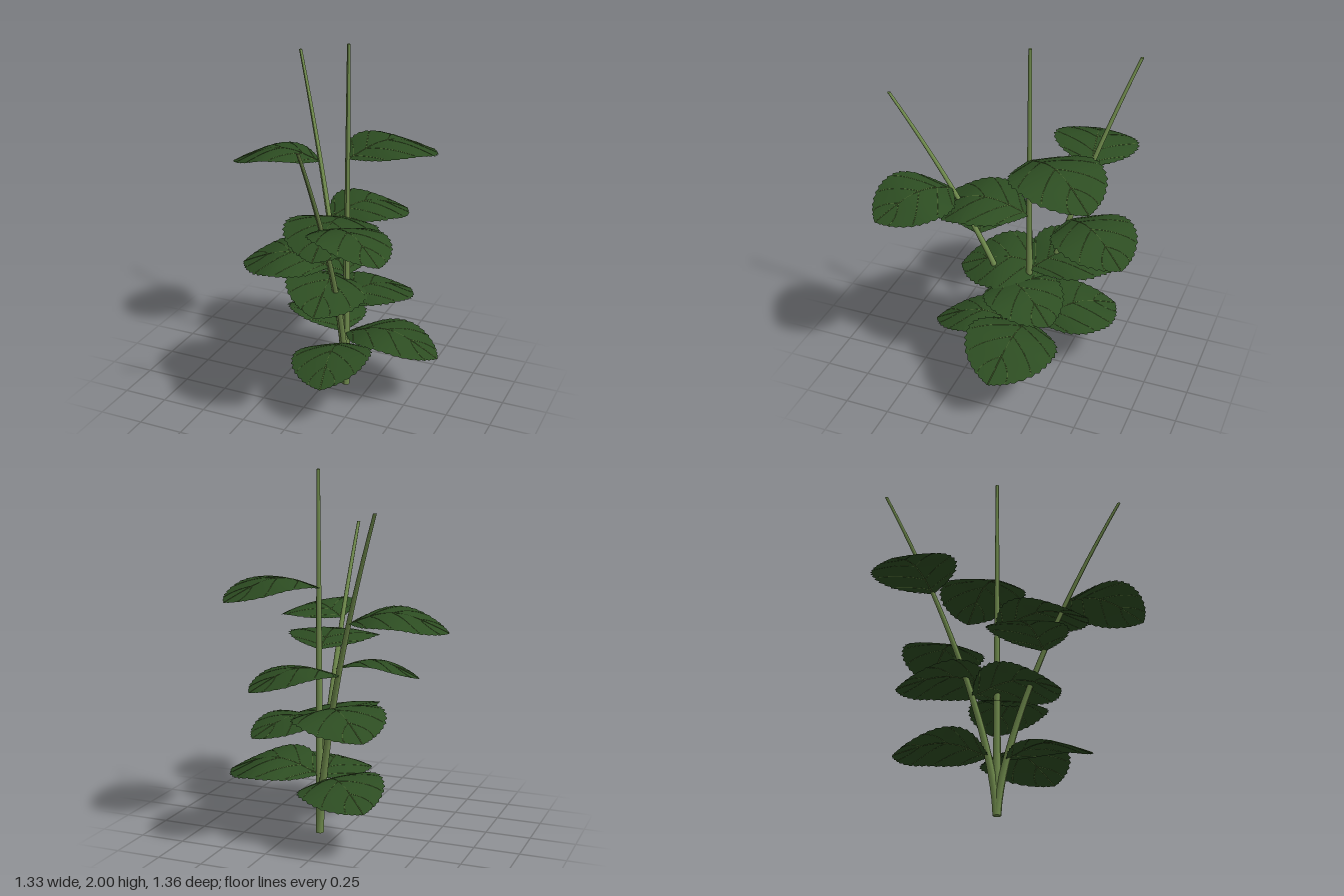
import * as THREE from 'three';

const leafGreen = new THREE.MeshStandardMaterial({ color: 0x2d4d22, side: THREE.DoubleSide });
leafGreen.name = 'leaf green';
const stemGreen = new THREE.MeshStandardMaterial({ color: 0x6f8a4c });
stemGreen.name = 'stem green';
const veinGreen = new THREE.MeshStandardMaterial({ color: 0x5a7339 });
veinGreen.name = 'vein green';

const spline = (pairs) => new THREE.SplineCurve(pairs.map(([a, b]) => new THREE.Vector2(a, b)));

// Half width and height of the blade along its length, as fractions of the length
const outline = spline([
  [0, 0.012], [0.05, 0.105], [0.12, 0.225], [0.24, 0.37], [0.4, 0.45], [0.58, 0.438],
  [0.74, 0.365], [0.88, 0.23], [0.96, 0.1], [1, 0.005],
]);
const arch = spline([
  [0, 0], [0.15, 0.058], [0.3, 0.108], [0.45, 0.124], [0.6, 0.105], [0.8, 0.028], [1, -0.065],
]);

// Height of the midrib at t, found between the two nearest samples of the arch
const archSamples = arch.getPoints(120);
function archHeight(t) {
  const i = Math.max(1, archSamples.findIndex((p) => p.x >= t));
  const a = archSamples[i - 1], b = archSamples[i];
  return a.y + (b.y - a.y) * (t - a.x) / (b.x - a.x);
}

// Point on a unit blade: s runs along the midrib, u across from -1 to 1
function bladePoint(s, u, tooth = 0) {
  const p = outline.getPoint(s);
  const t = THREE.MathUtils.clamp(p.x, 0, 1);
  const droop = 0.045 * u * u * Math.sin(Math.PI * t);
  return new THREE.Vector3(u * (p.y + tooth), archHeight(t) - droop, t);
}

// Serrated, arched blade
function bladeGeometry() {
  const rows = 80, cols = 12, pos = [], index = [];
  for (let i = 0; i <= rows; i++) {
    const inner = i > 6 && i < rows - 1;
    const tooth = inner ? 0.025 * ((i % 4) / 3 - 0.5) : 0;
    for (let j = 0; j <= cols; j++) {
      const u = (j / cols) * 2 - 1;
      const p = bladePoint(i / rows, u, Math.abs(u) > 0.9 ? tooth : 0);
      pos.push(p.x, p.y, p.z);
      if (i < rows && j < cols) {
        const a = i * (cols + 1) + j, b = a + cols + 1;
        index.push(a, b, a + 1, b, b + 1, a + 1);
      }
    }
  }
  const g = new THREE.BufferGeometry();
  g.setAttribute('position', new THREE.Float32BufferAttribute(pos, 3));
  g.setIndex(index);
  g.computeVertexNormals();
  return g;
}

// Thin raised vein lying on the blade
function veinGeometry(s0, s1, u1, radius) {
  const points = [];
  for (let k = 0; k <= 8; k++) {
    const f = k / 8;
    points.push(bladePoint(s0 + (s1 - s0) * f, u1 * f));
  }
  return new THREE.TubeGeometry(new THREE.CatmullRomCurve3(points), 16, radius, 4);
}

const blade = bladeGeometry();
const veins = [veinGeometry(0, 0.99, 0, 0.0045)];
for (const s of [0.12, 0.3, 0.47, 0.64]) {
  for (const side of [-1, 1]) veins.push(veinGeometry(s, s + 0.2, side * 0.92, 0.003));
}

function makeLeaf(length) {
  const leaf = new THREE.Group();
  leaf.name = 'leaf';
  const b = new THREE.Mesh(blade, leafGreen);
  b.name = 'leafBlade';
  leaf.add(b);
  veins.forEach((g, i) => {
    const v = new THREE.Mesh(g, veinGreen);
    v.name = i === 0 ? 'midrib' : 'sideVein';
    leaf.add(v);
  });
  leaf.scale.setScalar(length);
  return leaf;
}

// Stems lean outward more strongly with height; leaves are [height, heading, roll] in degrees
const root = new THREE.Vector3(0.11, 0, -0.09);
const stems = [
  { name: 'uprightStem', height: 2, lean: [0, 0], leaf: 0.555,
    leaves: [[0.335, 88, -7], [0.69, -134, 4], [1.04, 4, 0], [1.375, 142, 0]] },
  { name: 'backStem', height: 1.82, lean: [-0.48, -0.44], leaf: 0.512,
    leaves: [[0.315, -134, 8], [0.645, 10, -10], [0.945, 140.5, 3], [1.24, -78.5, 5]] },
  { name: 'frontStem', height: 1.66, lean: [0.065, 0.757], leaf: 0.485,
    leaves: [[0.295, 8, 8], [0.6, 144, 0], [0.87, -82, -7], [1.14, 59.5, -8]] },
];

function stemPoint(stem, y) {
  const f = Math.pow(Math.max(0, y / stem.height), 1.5);
  return new THREE.Vector3(root.x + stem.lean[0] * f, y, root.z + stem.lean[1] * f);
}

// Tapered cylinder bent along the stem's path
function stemGeometry(stem) {
  const g = new THREE.CylinderGeometry(0.009, 0.023, stem.height, 10, 24);
  g.translate(0, stem.height / 2, 0);
  const p = g.attributes.position;
  for (let i = 0; i < p.count; i++) {
    const c = stemPoint(stem, p.getY(i));
    p.setXYZ(i, p.getX(i) + c.x, p.getY(i), p.getZ(i) + c.z);
  }
  g.computeVertexNormals();
  return g;
}

export function createModel() {
  const plant = new THREE.Group();
  plant.name = 'leafyPlant';
  for (const stem of stems) {
    const group = new THREE.Group();
    group.name = stem.name + 'WithLeaves';
    const mesh = new THREE.Mesh(stemGeometry(stem), stemGreen);
    mesh.name = stem.name;
    group.add(mesh);
    for (const [y, heading, roll] of stem.leaves) {
      const leaf = makeLeaf(stem.leaf);
      leaf.position.copy(stemPoint(stem, y));
      leaf.rotation.y = THREE.MathUtils.degToRad(heading);
      leaf.rotation.z = THREE.MathUtils.degToRad(roll);
      group.add(leaf);
    }
    plant.add(group);
  }
  return plant;
}
